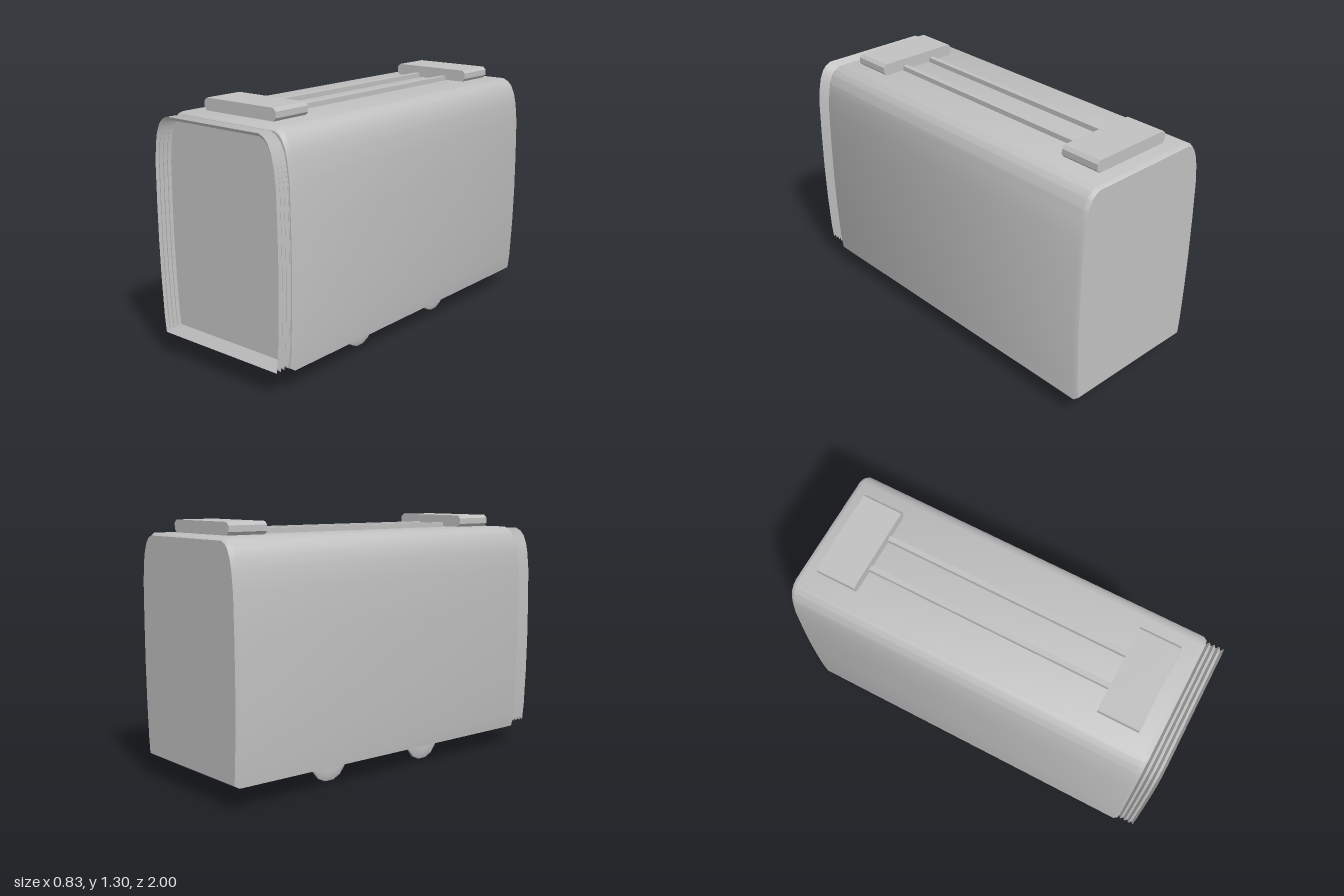
import * as THREE from 'three';
import { toCreasedNormals } from 'three/addons/utils/BufferGeometryUtils.js';

// Right half of the carriage cross-section, bottom to top
const HALF = [
  [0.391, 0.11], [0.4, 0.2], [0.409, 0.4], [0.413, 0.6], [0.412, 0.8], [0.408, 1.0],
  [0.397, 1.1], [0.385, 1.155], [0.365, 1.2], [0.342, 1.225], [0.31, 1.24],
];
const OUTLINE = [...HALF, ...HALF.map(([x, y]) => [-x, y]).reverse()];

const grey = new THREE.MeshStandardMaterial({ color: 0xc0c0c0, side: THREE.DoubleSide });
grey.name = 'light grey';

function add(parent, name, geometry, x = 0, y = 0, z = 0) {
  const mesh = new THREE.Mesh(geometry, grey);
  mesh.name = name;
  mesh.position.set(x, y, z);
  parent.add(mesh);
  return mesh;
}

const shapeOf = (points) => new THREE.Shape(points.map(([x, y]) => new THREE.Vector2(x, y)));

// Long shell with a narrow bevel round both ends
function bodyGeometry() {
  const geometry = new THREE.ExtrudeGeometry(shapeOf(OUTLINE), {
    depth: 1.87, bevelThickness: 0.02, bevelSize: 0.013, bevelOffset: -0.013, bevelSegments: 1,
  });
  geometry.translate(0, 0, -0.98);
  // Keep the underside level
  return toCreasedNormals(geometry, 0.6);
}

// Open folded sleeve: cross-sections alternate between ridge and valley
function bellowsGeometry() {
  const folds = 8;
  const n = OUTLINE.length;
  const positions = [];
  const index = [];
  for (let i = 0; i <= folds; i++) {
    const ridge = i % 2 === 0;
    const [sx, low, high] = ridge ? [0.972, 0.13, 1.23] : [0.947, 0.147, 1.214];
    for (const [x, y] of OUTLINE) {
      positions.push(x * sx, low + ((y - 0.11) / 1.13) * (high - low), 0.9 + (0.1 * i) / folds);
    }
    if (i === folds) continue;
    for (let j = 0; j < n; j++) {
      const a = i * n + j;
      const b = i * n + ((j + 1) % n);
      index.push(a, b, b + n, a, b + n, a + n);
    }
  }
  const geometry = new THREE.BufferGeometry();
  geometry.setAttribute('position', new THREE.Float32BufferAttribute(positions, 3));
  geometry.setIndex(index);
  return toCreasedNormals(geometry, 0.6);
}

// Roof box with small chamfers along its long edges
function roofBoxGeometry() {
  const w = 0.233, h = 0.062, c = 0.016;
  const shape = shapeOf([
    [-w + c, 0], [w - c, 0], [w, c], [w, h - c], [w - c, h], [-w + c, h], [-w, h - c], [-w, c],
  ]);
  const geometry = new THREE.ExtrudeGeometry(shape, { depth: 0.215, bevelEnabled: false });
  geometry.translate(0, 0, -0.1075);
  return geometry;
}

// Flanged wheel turned about the x axis, flange towards the inside
function wheelGeometry() {
  const profile = [[0, -0.024], [0.085, -0.024], [0.1, -0.014], [0.11, 0.002],
    [0.107, 0.012], [0.09, 0.02], [0.06, 0.024], [0, 0.024]];
  const geometry = new THREE.LatheGeometry(profile.map(([r, y]) => new THREE.Vector2(r, y)), 14);
  geometry.rotateZ(-Math.PI / 2);
  return toCreasedNormals(geometry, 0.6);
}

export function createModel() {
  const model = new THREE.Group();
  model.name = 'carriage';

  add(model, 'body', bodyGeometry());
  add(model, 'bellows', bellowsGeometry());

  // Roof boxes joined by two rails
  const roof = new THREE.Group();
  roof.name = 'roofEquipment';
  model.add(roof);
  for (const z of [-0.805, 0.71]) add(roof, 'roofBox', roofBoxGeometry(), -0.003, 1.243, z);
  for (const x of [-0.094, 0.087]) {
    add(roof, 'roofRail', new THREE.BoxGeometry(0.027, 0.035, 1.32), x, 1.248, -0.05);
  }

  // Two wheelsets, half sunk into the floor
  for (const z of [0.285, -0.365]) {
    const wheelset = new THREE.Group();
    wheelset.name = 'wheelset';
    wheelset.position.set(0, 0.11, z);
    model.add(wheelset);
    const axle = add(wheelset, 'axle', new THREE.CylinderGeometry(0.012, 0.012, 0.65, 10), 0, -0.003);
    axle.rotation.z = Math.PI / 2;
    for (const side of [-1, 1]) {
      const wheel = add(wheelset, 'wheel', wheelGeometry(), side * 0.271);
      if (side < 0) wheel.rotation.y = Math.PI;
    }
  }
  return model;
}
